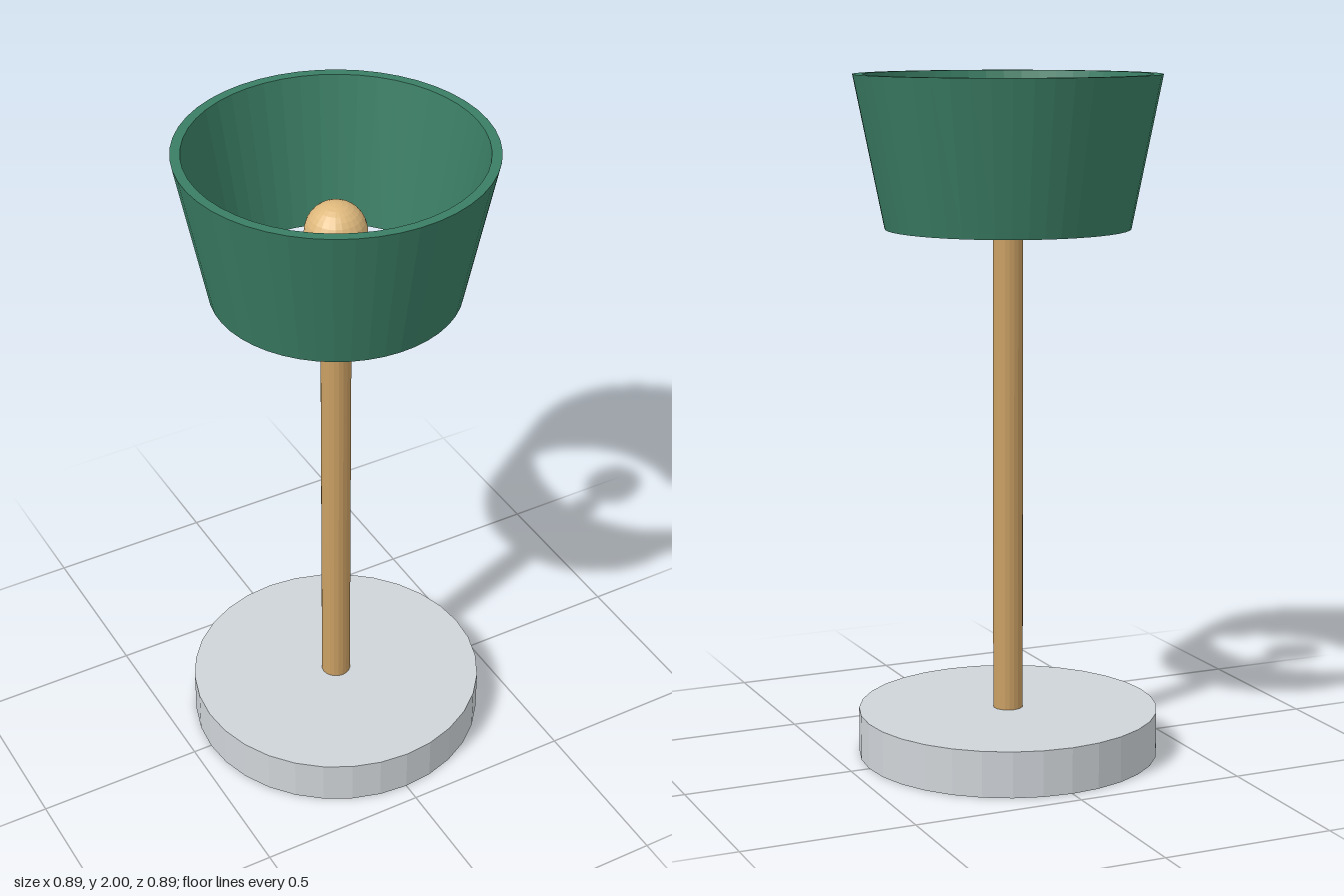
import * as THREE from 'three';

const material = (name, color) => {
  const m = new THREE.MeshStandardMaterial({ color, flatShading: true });
  m.name = name;
  return m;
};

export function createModel() {
  const lamp = new THREE.Group();
  lamp.name = 'tableLamp';

  const green = material('green shade', 0x3a7d64);
  const brass = material('brass', 0xc99f63);
  const glow = material('warm bulb', 0xdeb87c);
  const grey = material('pale grey', 0xcfd4d8);

  const add = (name, geometry, mat, y) => {
    const mesh = new THREE.Mesh(geometry, mat);
    mesh.name = name;
    mesh.position.y = y;
    lamp.add(mesh);
  };

  // Round base and stem
  add('base', new THREE.CylinderGeometry(0.443, 0.443, 0.135, 32), grey, 0.0675);
  add('stem', new THREE.CylinderGeometry(0.044, 0.044, 1.425, 20), brass, 0.8475);

  // Bulb hanging free above the stem
  add('bulb', new THREE.SphereGeometry(0.088, 24, 16), glow, 1.745);

  // Open shade: closed wall profile, inside and outside, with flat rims
  const wall = [[0.332, 0], [0.355, 0], [0.443, 0.44], [0.415, 0.44], [0.332, 0]]
    .map(([r, y]) => new THREE.Vector2(r, y));
  add('shade', new THREE.LatheGeometry(wall, 48), green, 1.56);

  return lamp;
}
